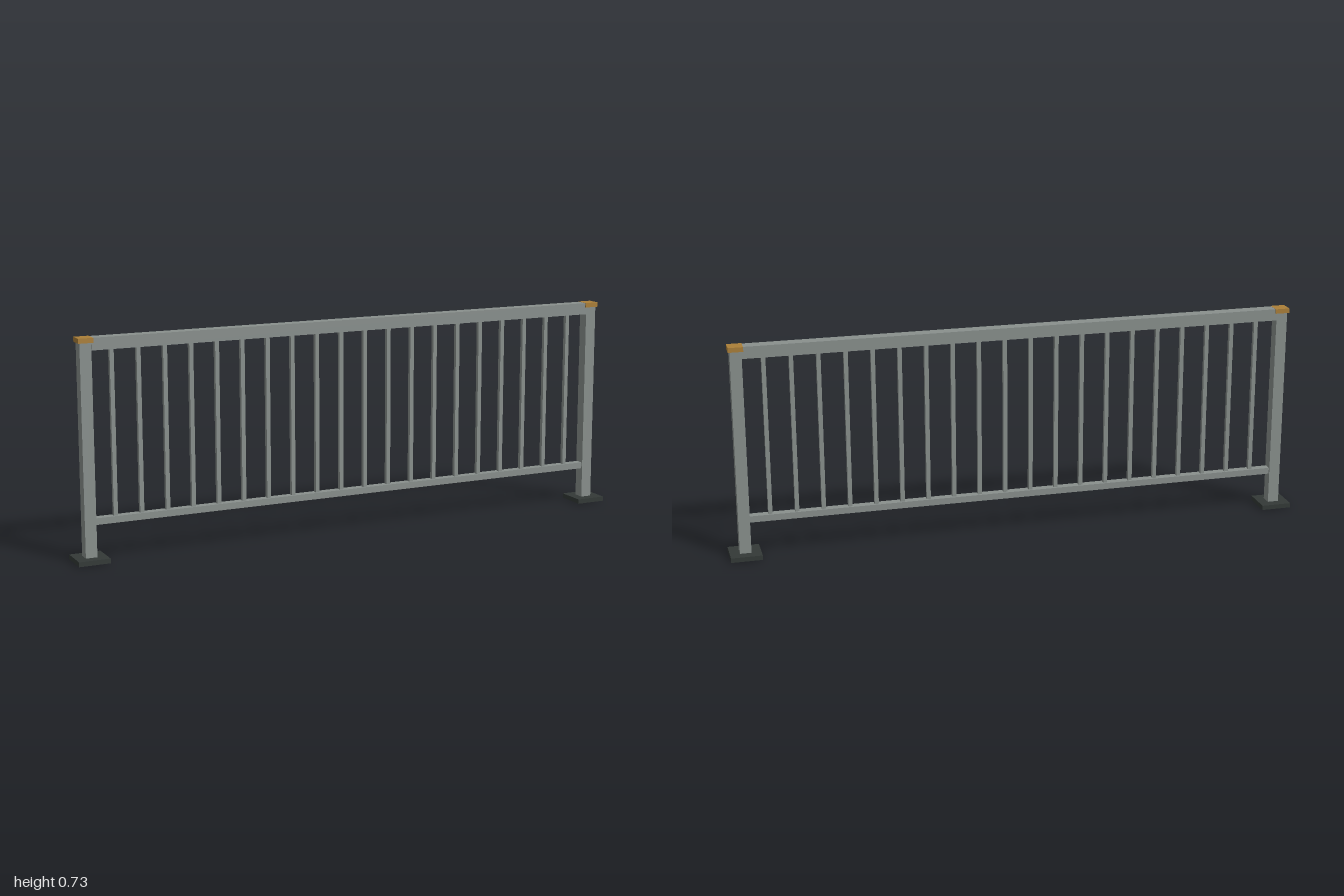
import * as THREE from 'three';

const steel = new THREE.MeshStandardMaterial({ color: 0x89908d });
steel.name = 'grey steel';
const brass = new THREE.MeshStandardMaterial({ color: 0xab7f38 });
brass.name = 'brass';
const iron = new THREE.MeshStandardMaterial({ color: 0x333937 });
iron.name = 'dark iron';

export function createModel() {
  const railing = new THREE.Group();
  railing.name = 'railing';

  // Box given by its centre x, bottom and top heights, width and depth
  const addBox = (name, material, x, bottom, top, width, depth, parent = railing) => {
    const mesh = new THREE.Mesh(new THREE.BoxGeometry(width, top - bottom, depth), material);
    mesh.position.set(x, (bottom + top) / 2, 0);
    mesh.name = name;
    parent.add(mesh);
  };

  // End posts with foot plates and caps
  for (const [side, sign] of [['left', 1], ['right', -1]]) {
    const post = new THREE.Group();
    post.name = side + 'Post';
    post.position.x = sign * 0.947;
    addBox('footPlate', iron, 0, 0, 0.016, 0.106, 0.106, post);
    addBox('postShaft', steel, 0, 0.016, 0.717, 0.039, 0.039, post);
    addBox('postCap', brass, 0, 0.717, 0.733, 0.05, 0.05, post);
    railing.add(post);
  }

  // Horizontal rails between the posts
  addBox('topRail', steel, 0, 0.692, 0.7325, 1.856, 0.042);
  addBox('bottomRail', steel, 0, 0.122, 0.144, 1.856, 0.028);

  // Evenly spaced balusters
  const balusters = new THREE.Group();
  balusters.name = 'balusters';
  const count = 20, spacing = 0.0902;
  for (let i = 0; i < count; i++) {
    const x = (i - (count - 1) / 2) * spacing;
    addBox('baluster', steel, x, 0.144, 0.692, 0.014, 0.014, balusters);
  }
  railing.add(balusters);

  return railing;
}
